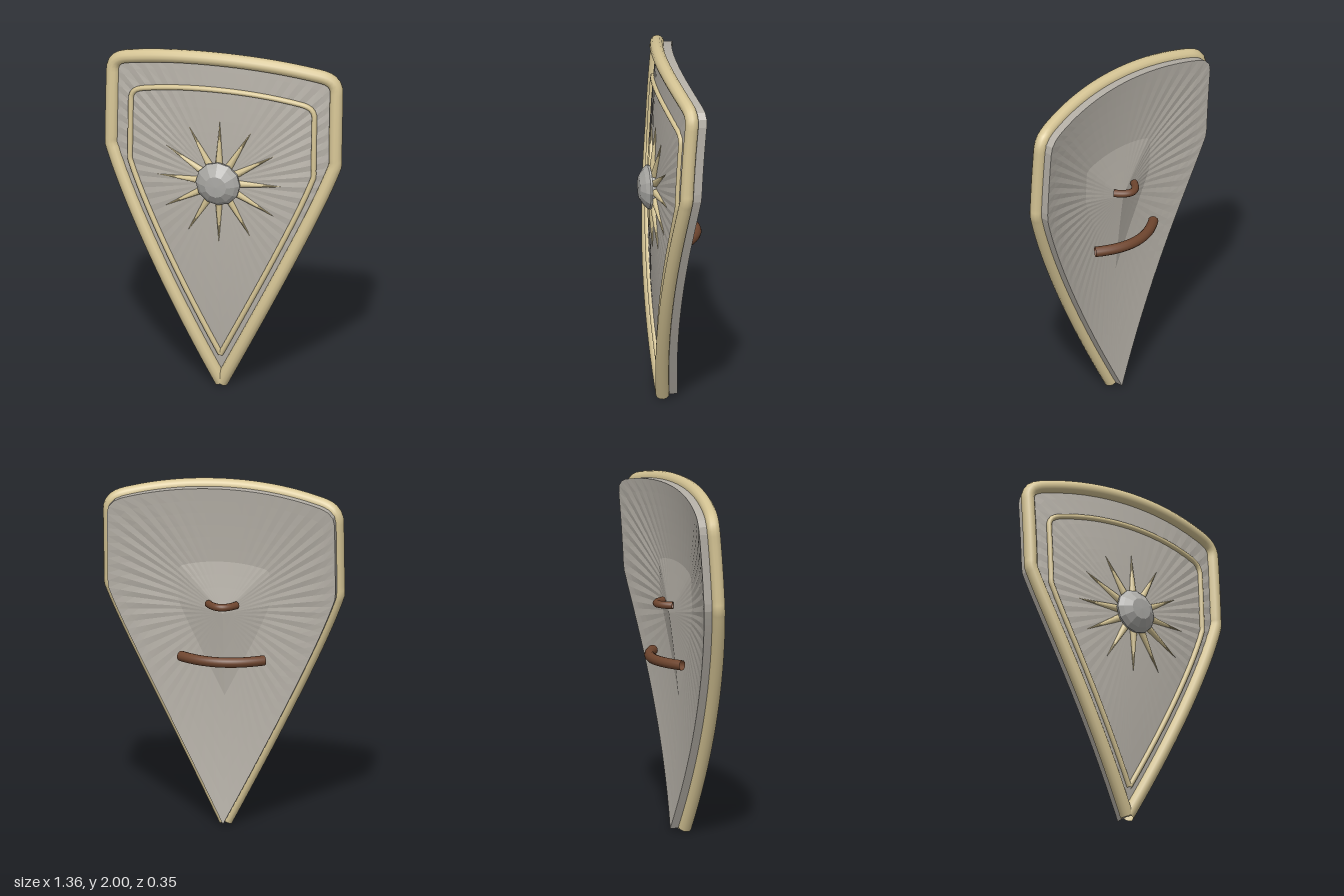
import * as THREE from 'three';

const material = (name, color, side = THREE.FrontSide) => {
  const m = new THREE.MeshStandardMaterial({ color, side });
  m.name = name;
  return m;
};

// Height of the doubly curved front surface
const surf = (x, y) => 0.092 - 0.2 * x * x - 0.056 * (y - 1) ** 2;

// Half outline mirrored into a full counter-clockwise contour, tip to tip
function outline(n) {
  const p = new THREE.Path();
  p.moveTo(0, 0.022);
  p.quadraticCurveTo(0.54, 1.07, 0.643, 1.38);
  p.lineTo(0.643, 1.81);
  p.quadraticCurveTo(0.643, 1.877, 0.56, 1.898);
  p.quadraticCurveTo(0.3, 1.963, 0, 1.963);
  const half = p.getSpacedPoints(n);
  const mirrored = half.slice(0, -1).reverse().map(v => new THREE.Vector2(-v.x, v.y));
  return [...half, ...mirrored];
}

// Tube that follows the contour, scaled about the middle of the shield
function contourTube(scale, radius, lift) {
  const pts = outline(70).map(v => {
    const x = v.x * scale, y = 0.98 + (v.y - 0.98) * scale;
    return new THREE.Vector3(x, y, surf(x, y) + lift);
  });
  return new THREE.TubeGeometry(new THREE.CatmullRomCurve3(pts, false, 'centripetal'), 200, radius, 12);
}

// Curved slab: rings from the middle of the front, over the edge, to the middle of the back
function plateGeometry() {
  const edge = outline(60).slice(0, -1), N = edge.length, K = 10, cy = 1.245, thickness = 0.085;
  const pos = [], idx = [];
  for (let r = 0; r < 2 * K + 2; r++) {
    const back = r > K, t = (back ? 2 * K + 1 - r : r) / K;
    edge.forEach((v, i) => {
      const x = v.x * t, y = cy + (v.y - cy) * t;
      const ripple = (i % 2 ? 1 : -1) * 0.015 * x * x * Math.sin(Math.PI * t);
      const cone = 0.058 * Math.max(0, 1 - t / 0.4);
      pos.push(x, y, surf(x, y) + ripple - (back ? thickness + cone : 0));
    });
  }
  for (let r = 0; r < 2 * K + 1; r++) {
    for (let i = 0; i < N; i++) {
      const j = (i + 1) % N, a = r * N + i, b = a + N, c = r * N + j, d = c + N;
      if (r < 2 * K) idx.push(a, b, d);
      if (r > 0) idx.push(a, d, c);
    }
  }
  const g = new THREE.BufferGeometry();
  g.setAttribute('position', new THREE.Float32BufferAttribute(pos, 3));
  g.setIndex(idx);
  const flat = g.toNonIndexed();
  flat.computeVertexNormals();
  return flat;
}

export function createModel() {
  const root = new THREE.Group();
  root.name = 'shield';
  const steel = material('steel', 0xb5b0a7);
  const bossSteel = material('bossSteel', 0xa9a8a4);
  const gold = material('paleGold', 0xd6c595, THREE.DoubleSide);
  const leather = material('leather', 0x6e452e, THREE.DoubleSide);

  const add = (name, geometry, mat, parent = root) => {
    const mesh = new THREE.Mesh(geometry, mat);
    mesh.name = name;
    parent.add(mesh);
    return mesh;
  };

  add('plate', plateGeometry(), steel);
  add('rim', contourTube(1, 0.038, 0), gold);
  add('innerTrim', contourTube(0.82, 0.015, 0.004), gold);

  // Sunburst of tapered rays
  const cy = 1.245, rays = new THREE.Group();
  rays.name = 'sunburst';
  root.add(rays);
  const up = new THREE.Vector3(0, 1, 0);
  for (let i = 0; i < 12; i++) {
    const a = (i * Math.PI) / 6;
    const at = r => {
      const x = r * Math.cos(a), y = cy + r * Math.sin(a);
      return new THREE.Vector3(x, y, surf(x, y) + 0.006);
    };
    const base = at(0.1), tip = at(0.362), dir = tip.clone().sub(base);
    const ray = add('ray', new THREE.ConeGeometry(0.022, dir.length(), 8), gold, rays);
    ray.position.copy(base).add(tip).multiplyScalar(0.5);
    ray.quaternion.setFromUnitVectors(up, dir.normalize());
  }

  // Faceted central boss on a short neck
  const profile = [[0.08, 0.08], [0.08, 0.108], [0.127, 0.11], [0.127, 0.122], [0.105, 0.145], [0.062, 0.172], [0, 0.175]]
    .map(([r, h]) => new THREE.Vector2(r, h));
  const bossGeometry = new THREE.LatheGeometry(profile, 12).toNonIndexed();
  bossGeometry.computeVertexNormals();
  const boss = add('boss', bossGeometry, bossSteel);
  boss.rotation.x = Math.PI / 2;
  boss.position.y = cy;

  // Arched leather grips behind the plate
  const strap = (name, y, half, endZ, peakZ, radius) => {
    const curve = new THREE.QuadraticBezierCurve3(
      new THREE.Vector3(-half, y, endZ),
      new THREE.Vector3(0, y, 2 * peakZ - endZ),
      new THREE.Vector3(half, y, endZ));
    add(name, new THREE.TubeGeometry(curve, 24, radius, 12), leather);
  };
  strap('armStrap', 0.99, 0.235, -0.062, -0.147, 0.029);
  strap('handGrip', 1.3, 0.08, -0.06, -0.124, 0.021);

  return root;
}
